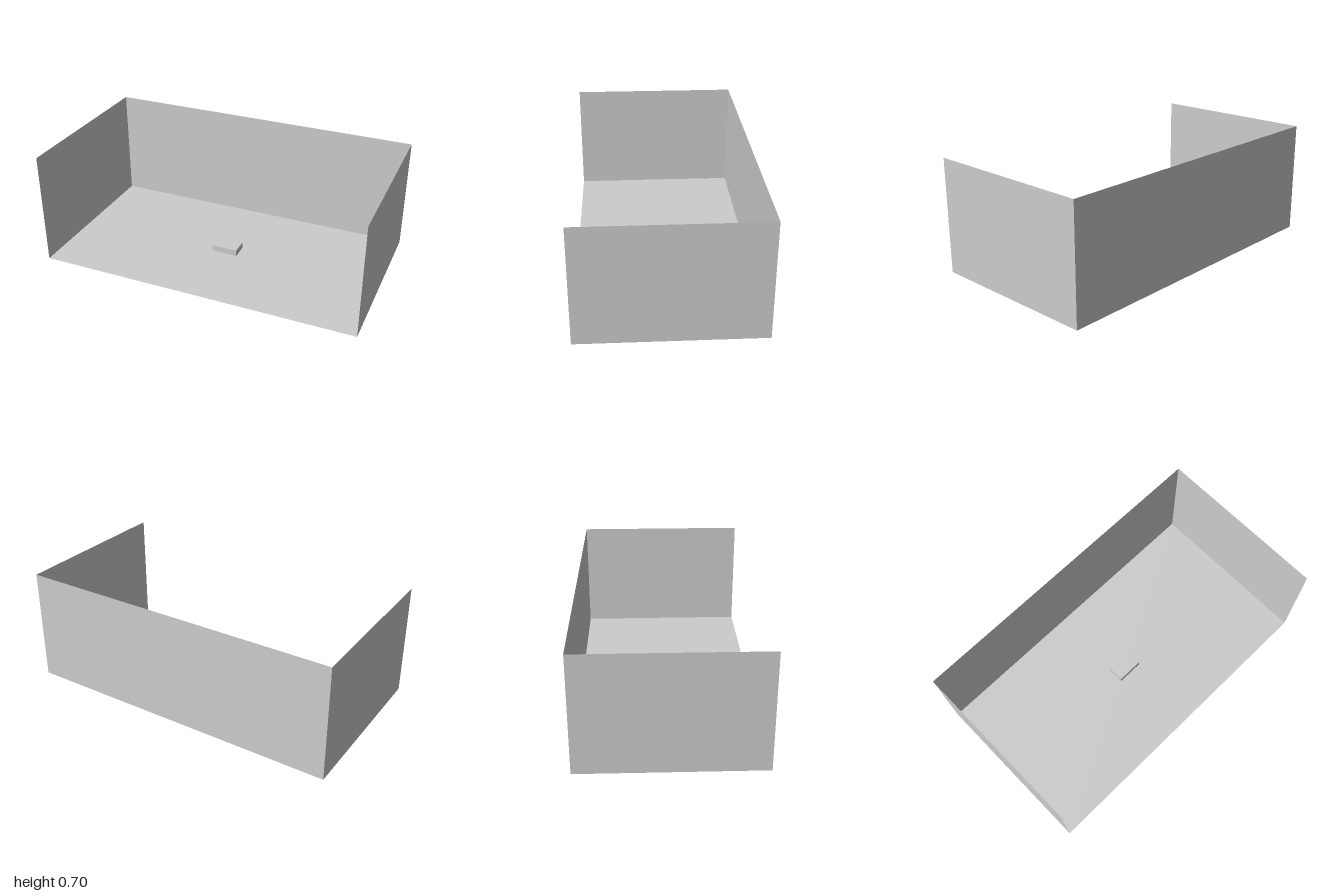
import * as THREE from 'three';

const W = 2, H = 0.703, D = 1.066;

export function createModel() {
  const group = new THREE.Group();
  const sheet = new THREE.MeshStandardMaterial({ color: 0xcccccc, side: THREE.DoubleSide });
  const solid = new THREE.MeshStandardMaterial({ color: 0xcccccc, flatShading: true });

  const add = (name, geometry, material, x, y, z) => {
    const mesh = new THREE.Mesh(geometry, material);
    mesh.name = name;
    mesh.position.set(x, y, z);
    group.add(mesh);
    return mesh;
  };

  // Floor and back wall: thin sheets, open at the front and top
  add('floor', new THREE.PlaneGeometry(W, D).rotateX(-Math.PI / 2), sheet, 0, 0, 0);
  add('backWall', new THREE.PlaneGeometry(W, H), sheet, 0, H / 2, -D / 2);

  // Mirrored side walls, facing inwards
  for (const [name, side] of [['leftWall', 1], ['rightWall', -1]]) {
    const wall = new THREE.PlaneGeometry(D, H).rotateY(-side * Math.PI / 2);
    add(name, wall, sheet, side * W / 2, H / 2, 0);
  }

  // Small block in the middle of the floor
  add('block', new THREE.BoxGeometry(0.166, 0.04, 0.104), solid, 0, 0.025, 0);

  return group;
}
